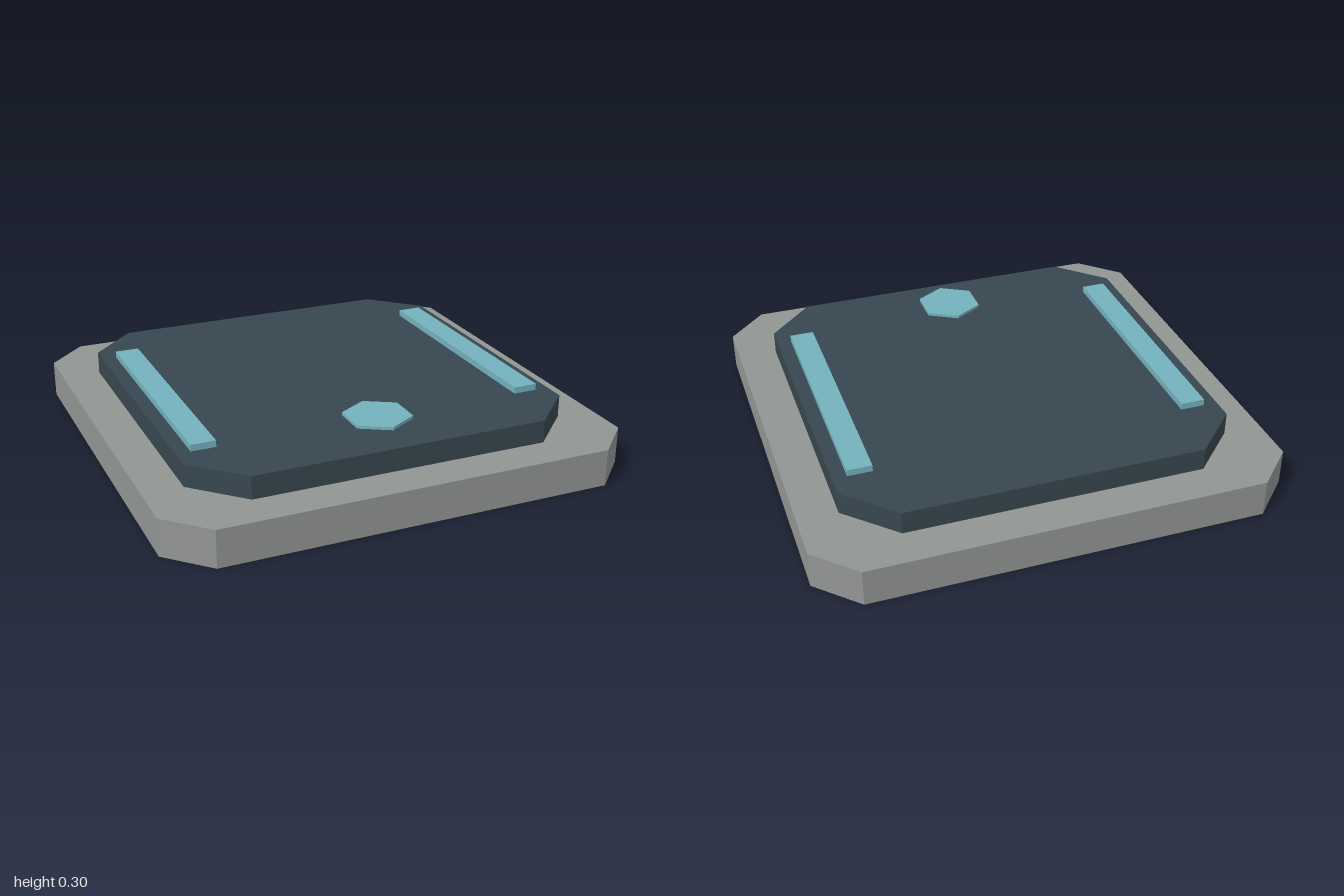
import * as THREE from 'three';

const material = (name, color) => {
  const m = new THREE.MeshStandardMaterial({ color });
  m.name = name;
  return m;
};

// Square slab with chamfered corners, rising from y = 0
function chamferedSlab(half, cut, height) {
  const inner = half - cut;
  const shape = new THREE.Shape([
    [inner, -half], [half, -inner], [half, inner], [inner, half],
    [-inner, half], [-half, inner], [-half, -inner], [-inner, -half],
  ].map(([x, y]) => new THREE.Vector2(x, y)));
  return new THREE.ExtrudeGeometry(shape, { depth: height, bevelEnabled: false }).rotateX(-Math.PI / 2);
}

export function createModel() {
  const stone = material('stone grey', 0x929693);
  const slate = material('dark slate', 0x37474f);
  const glow = material('pale cyan', 0x74b3bd);
  glow.flatShading = true;

  const group = new THREE.Group();
  group.name = 'floorPad';
  const add = (name, geometry, mat, x, y, z) => {
    const mesh = new THREE.Mesh(geometry, mat);
    mesh.name = name;
    mesh.position.set(x, y, z);
    group.add(mesh);
  };

  // Stepped platform
  add('base', chamferedSlab(1, 0.167, 0.158), stone, 0, 0, 0);
  add('deck', chamferedSlab(0.833, 0.2, 0.097), slate, 0, 0.158, 0);

  // Light strips along both sides
  for (const side of [-1, 1]) {
    const name = side > 0 ? 'leftLightStrip' : 'rightLightStrip';
    add(name, new THREE.BoxGeometry(0.104, 0.028, 1.084), glow, side * 0.72, 0.269, 0);
  }

  // Hexagonal marker hovering just above the deck at the front
  add('hexMarker', new THREE.CylinderGeometry(0.143, 0.143, 0.013, 6), glow, 0, 0.29, 0.588);

  return group;
}
